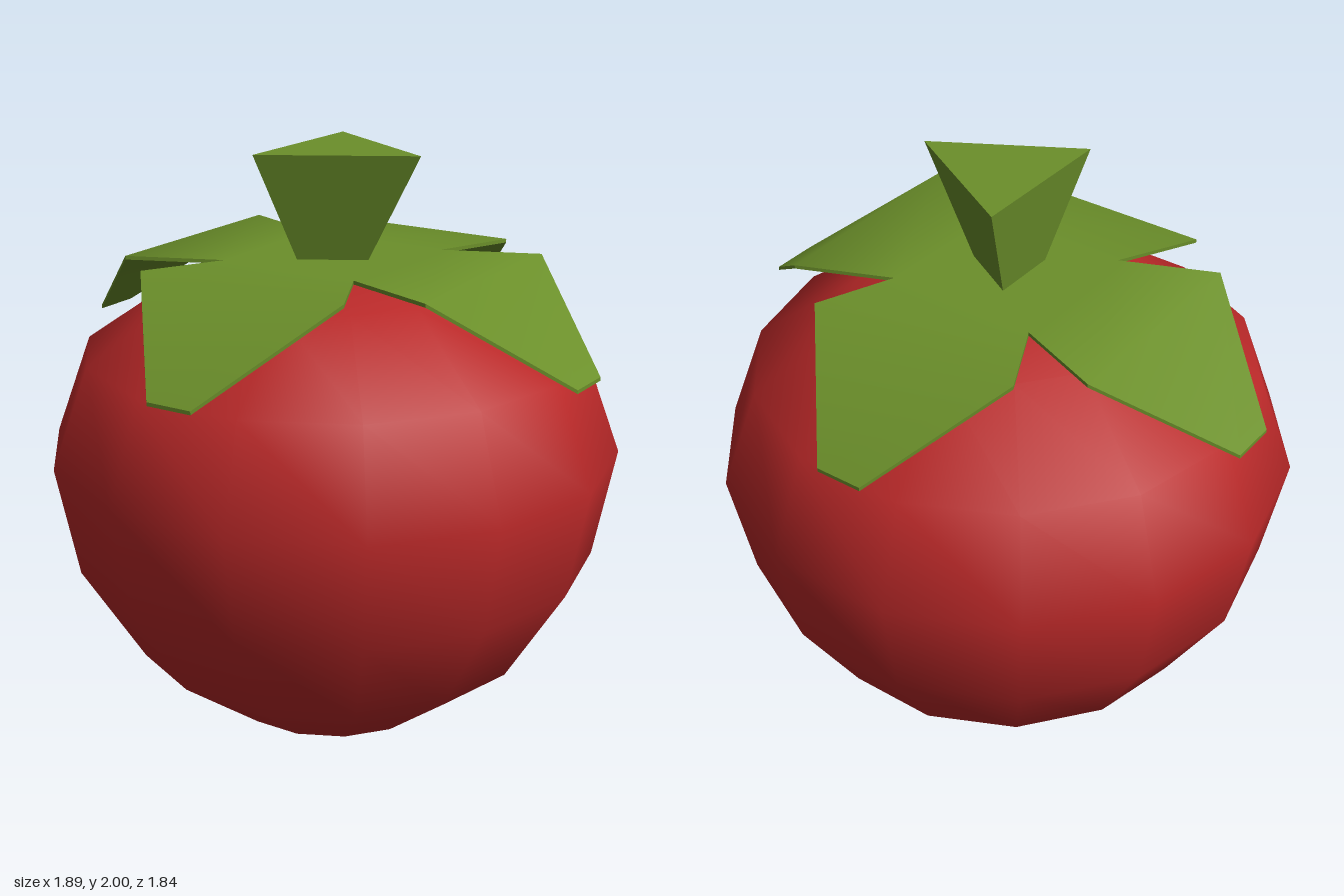
import * as THREE from 'three';
import { mergeGeometries } from 'three/addons/utils/BufferGeometryUtils.js';

const RED = new THREE.MeshStandardMaterial({ color: 0xb92828 });
const GREEN = new THREE.MeshStandardMaterial({ color: 0x6b8f2a });
const STEM = new THREE.MeshStandardMaterial({ color: 0x6b8f2a, flatShading: true });

function makeGeometry(points, index) {
  const g = new THREE.BufferGeometry();
  g.setAttribute('position', new THREE.Float32BufferAttribute(points.flat(), 3));
  g.setIndex(index);
  g.computeVertexNormals();
  return g;
}

// Four thin sepals around a flat centre, each folded down at its widest line
function sepalGeometry() {
  const top = 1.65, drop = 1.37, thick = 0.012;
  const rim = [];
  for (let k = 0; k < 4; k++) {
    const a = k * Math.PI / 2, c = Math.round(Math.cos(a)), s = Math.round(Math.sin(a));
    const sideways = k % 2 === 0;
    const fold = sideways ? 0.557 : 0.507, tip = sideways ? 0.915 : 0.865;
    const place = (out, across, y) =>
      rim.push([out * c - across * s + (sideways ? 0.015 : 0), y, out * s + across * c + 0.022]);
    place(0.255, -0.25, top);   // notch shared with the previous sepal
    place(fold, -0.375, top);
    place(tip, -0.08, drop);
    place(tip, 0.08, drop);
    place(fold, 0.375, top);
  }
  const faces = [];
  const quad = (a, b, c, d) => faces.push(a, c, b, a, d, c);
  quad(0, 5, 10, 15);
  for (let k = 0; k < 4; k++) {
    const i = k * 5;
    quad(i, i + 1, i + 4, (i + 5) % 20);
    quad(i + 1, i + 2, i + 3, i + 4);
  }
  const under = rim.map(([x, y, z]) => [x, y - thick, z]);
  const parts = [makeGeometry(rim, faces), makeGeometry(under, [...faces].reverse())];
  rim.forEach((p, i) => {
    const j = (i + 1) % 20;
    parts.push(makeGeometry([p, rim[j], under[j], under[i]], [0, 1, 2, 0, 2, 3]));
  });
  return mergeGeometries(parts);
}

export function createModel() {
  const group = new THREE.Group();
  const add = (name, geometry, material) => {
    const mesh = new THREE.Mesh(geometry, material);
    mesh.name = name;
    group.add(mesh);
    return mesh;
  };

  // Fruit: fourteen-sided smooth body, broad at the shoulders
  const profile = [
    [0, 0], [0.361, 0.085], [0.668, 0.315], [0.873, 0.645], [0.945, 1.01],
    [0.825, 1.34], [0.49, 1.57], [0.2, 1.62], [0, 1.61],
  ].map(([r, y]) => new THREE.Vector2(r, y));
  add('fruit', new THREE.LatheGeometry(profile, 14, Math.PI / 2), RED);

  add('sepals', sepalGeometry(), GREEN);

  // Stem: three-sided, flaring upward and leaning slightly sideways
  const stem = new THREE.CylinderGeometry(0.3, 0.127, 0.36, 3, 1, false, Math.PI / 2);
  const pos = stem.attributes.position;
  for (let i = 0; i < pos.count; i++) {
    pos.setX(i, pos.getX(i) + (pos.getY(i) > 0 ? 0.035 : 0.015));
  }
  stem.translate(0, 1.82, 0.025);
  add('stem', stem, STEM);

  return group;
}
